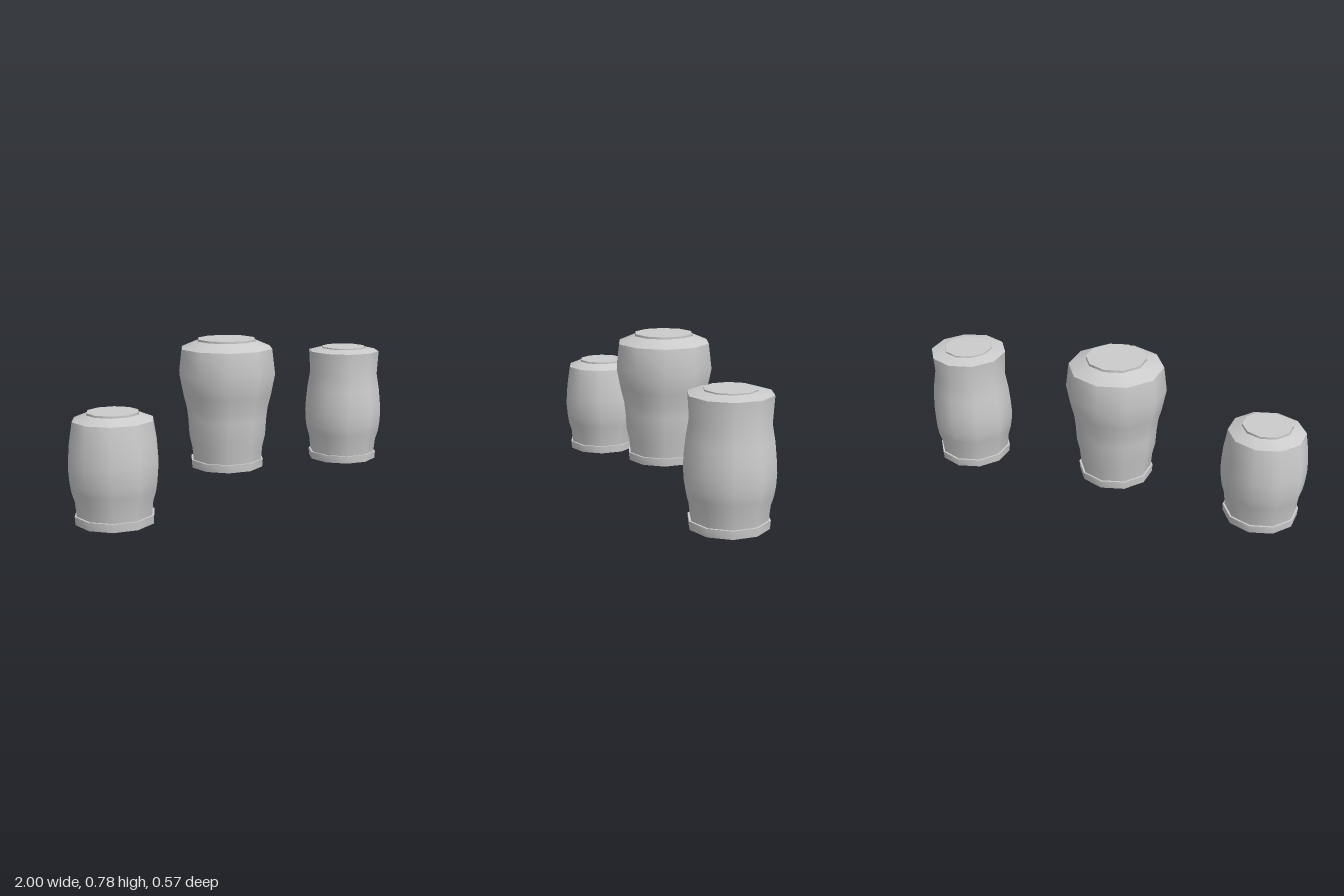
import * as THREE from 'three';
import { toCreasedNormals } from 'three/addons/utils/BufferGeometryUtils.js';

const SIDES = 10;
const CREASE = 0.9;
const material = new THREE.MeshStandardMaterial({ color: 0xcccccc });
const shellMaterial = new THREE.MeshStandardMaterial({ color: 0xcccccc, side: THREE.DoubleSide });

// Ten-sided turned part from [radius, height] pairs
function turned(name, points, mat = material) {
  const profile = points.map(([r, y]) => new THREE.Vector2(r, y));
  const mesh = new THREE.Mesh(toCreasedNormals(new THREE.LatheGeometry(profile, SIDES), CREASE), mat);
  mesh.name = name;
  return mesh;
}

// One hollow paper lantern; heights are measured from its lower edge
function lantern({ name, position, body, roof, lid }) {
  const group = new THREE.Group();
  group.name = name;
  group.position.set(...position);

  // Collar ring around the open bottom
  group.add(turned('collar', [[0.17, 0], [0.187, 0], [0.19, 0.04], [0.17, 0.04], [0.17, 0]]));

  // Thin curved shade, sloping roof and flat lid
  group.add(turned('shade', body, shellMaterial));
  group.add(turned('roof', [body[body.length - 1], ...roof], shellMaterial));
  const [lidRadius, lidBottom, lidTop] = lid;
  group.add(turned('lid', [[0, lidBottom], [lidRadius, lidBottom], [lidRadius, lidTop], [0, lidTop]]));

  // Crossbar with an upright candle peg inside the collar
  const bar = new THREE.Mesh(new THREE.BoxGeometry(0.01, 0.008, 0.345), material);
  bar.name = 'crossbar';
  bar.position.y = 0.02;
  const peg = new THREE.Mesh(new THREE.CylinderGeometry(0.008, 0.01, 0.045, 8), material);
  peg.name = 'candlePeg';
  peg.position.y = 0.045;
  group.add(bar, peg);
  return group;
}

export function createModel() {
  const model = new THREE.Group();
  model.name = 'lanterns';

  const lanterns = [
    {
      name: 'shortLantern',
      position: [-0.797, 0, 0.07],
      body: [[0.178, 0.03], [0.18, 0.04], [0.187, 0.11], [0.201, 0.155], [0.208, 0.2],
        [0.213, 0.26], [0.212, 0.3], [0.206, 0.38], [0.19, 0.48]],
      roof: [[0.125, 0.507]],
      lid: [0.122, 0.5, 0.516],
    },
    {
      name: 'wideLantern',
      position: [-0.045, 0.126, -0.034],
      body: [[0.178, 0.03], [0.18, 0.04], [0.187, 0.11], [0.201, 0.17], [0.206, 0.25],
        [0.213, 0.31], [0.23, 0.375], [0.251, 0.48], [0.2355, 0.606]],
      roof: [[0.152, 0.642]],
      lid: [0.149, 0.635, 0.652],
    },
    {
      name: 'tallLantern',
      position: [0.797, 0.039, -0.0325],
      body: [[0.178, 0.03], [0.18, 0.04], [0.188, 0.11], [0.202, 0.156], [0.209, 0.2],
        [0.2125, 0.26], [0.209, 0.32], [0.201, 0.4], [0.187, 0.481], [0.195, 0.606]],
      roof: [[0.14, 0.619], [0.124, 0.622]],
      lid: [0.122, 0.615, 0.628],
    },
  ];
  for (const spec of lanterns) model.add(lantern(spec));
  return model;
}
